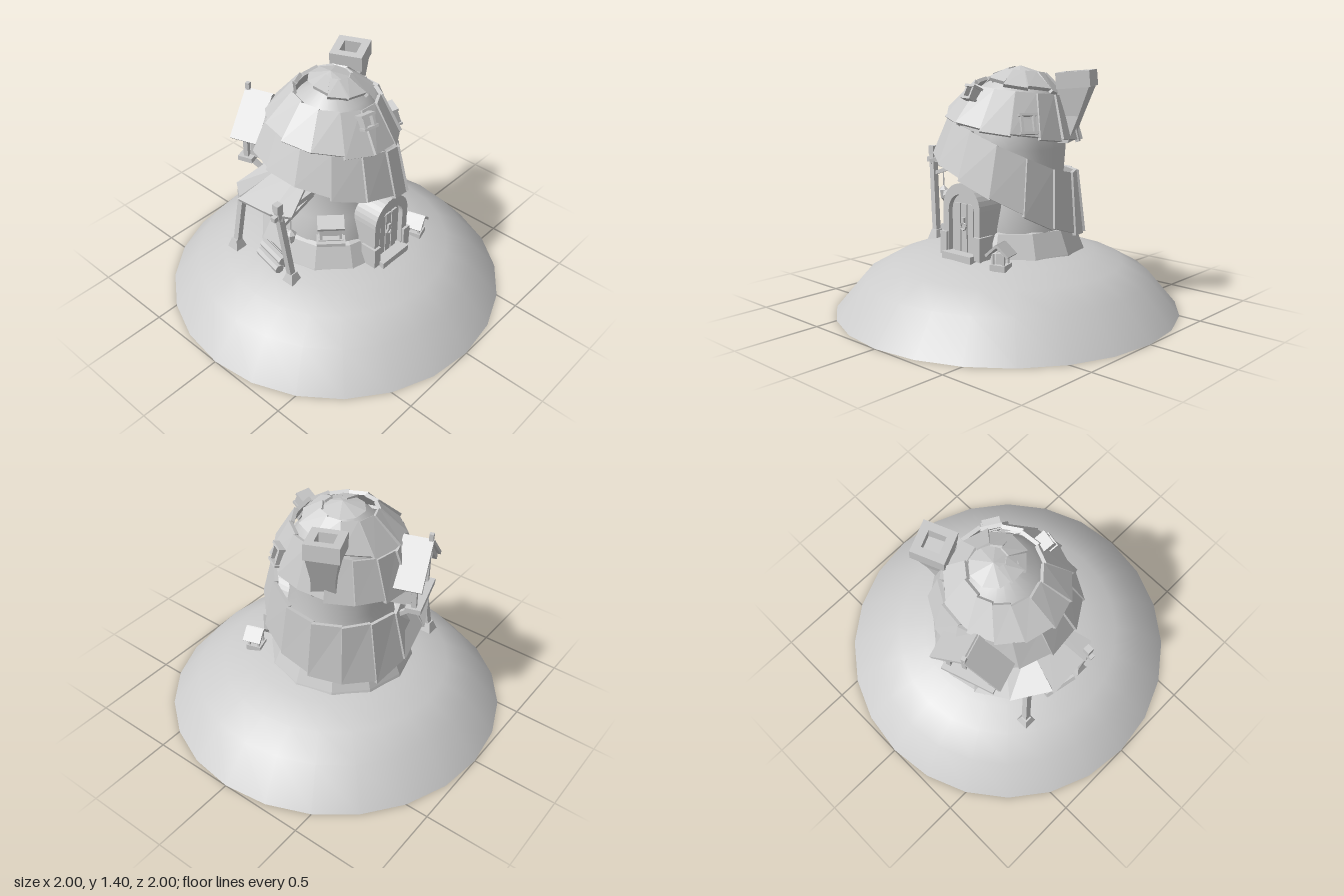
import * as THREE from 'three';

const mat = new THREE.MeshStandardMaterial({ color: 0xcccccc, flatShading: true, side: THREE.DoubleSide });
const smooth = new THREE.MeshStandardMaterial({ color: 0xcccccc, side: THREE.DoubleSide });
const V = (x, y, z) => new THREE.Vector3(x, y, z);

function add(parent, name, geo, pos = [0, 0, 0], rot = [0, 0, 0], m = mat) {
  const mesh = new THREE.Mesh(geo, m);
  mesh.name = name;
  mesh.position.set(...pos);
  mesh.rotation.set(...rot);
  parent.add(mesh);
  return mesh;
}
function group(parent, name, pos = [0, 0, 0], ry = 0) {
  const g = new THREE.Group();
  g.name = name;
  g.position.set(...pos);
  g.rotation.y = ry;
  parent.add(g);
  return g;
}
const box = (w, h, d) => new THREE.BoxGeometry(w, h, d);

// Square timber between two points
function beam(parent, name, a, b, w = 0.03, d = w) {
  const dir = V(...b).sub(V(...a));
  const mesh = add(parent, name, box(w, dir.length(), d));
  mesh.position.copy(V(...a)).addScaledVector(dir, 0.5);
  mesh.quaternion.setFromUnitVectors(V(0, 1, 0), dir.normalize());
  return mesh;
}

// Six-sided solid from an outer quad (counter-clockwise) and its inner quad
function hexa(o, i) {
  const quads = [o, [i[3], i[2], i[1], i[0]]];
  for (let k = 0; k < 4; k++) {
    const n = (k + 1) % 4;
    quads.push([o[k], i[k], i[n], o[n]]);
  }
  const pts = quads.flatMap(q => [q[0], q[1], q[2], q[0], q[2], q[3]]);
  const g = new THREE.BufferGeometry().setFromPoints(pts);
  g.computeVertexNormals();
  return g;
}

// Spiral roof stations: angle, lower radius, lower y, upper radius, upper y
const spiral = [
  [-720, .13, 1.37, .03, 1.395], [-630, .20, 1.33, .09, 1.385], [-540, .24, 1.28, .12, 1.37],
  [-450, .31, 1.18, .16, 1.35], [-360, .40, 1.19, .24, 1.33], [-270, .40, 1.09, .27, 1.29],
  [-180, .36, 1.01, .27, 1.25], [-90, .41, .95, .32, 1.18], [0, .45, 1.0, .37, 1.18],
  [90, .45, .82, .38, 1.07], [180, .43, .49, .38, .82], [240, .46, .42, .37, .80],
  [270, .46, .50, .38, .80], [300, .49, .64, .36, .83], [330, .56, .78, .33, .88],
  [350, .59, .83, .31, .92], [380, .54, .83, .30, .92],
];
function station(a) {
  let k = 0;
  while (k < spiral.length - 2 && spiral[k + 1][0] < a) k++;
  const p = spiral[k], q = spiral[k + 1], t = (a - p[0]) / (q[0] - p[0]);
  return p.map((v, j) => v + (q[j] - v) * t);
}
function roofPoint(a, r, y) {
  const t = (y - 0.5) / 0.9, rad = a * Math.PI / 180;
  return V(-0.02 + 0.06 * t - r * Math.cos(rad), y, -0.02 - 0.05 * t + r * Math.sin(rad));
}

function buildRoof(parent) {
  const roof = group(parent, 'spiralRoof');
  let a = -720;
  for (let n = 0; a < 379; n++) {
    const step = a < -450 ? 36 : 25, a1 = Math.min(a + step, 380);
    const s = station(a), e = station(a1), lift = 0.012, drop = 0.012 * (n % 2);
    const outer = [
      roofPoint(a, s[1] + lift, s[2] - drop), roofPoint(a1, e[1], e[2] - drop),
      roofPoint(a1, e[3], e[4]), roofPoint(a, s[3] + lift, s[4]),
    ];
    const nrm = outer[1].clone().sub(outer[0]).cross(outer[3].clone().sub(outer[0])).normalize();
    add(roof, 'shingle', hexa(outer, outer.map(p => p.clone().addScaledVector(nrm, -0.022))));
    a = a1;
  }
  // Raised cap at the tip
  add(roof, 'roofCap', new THREE.ConeGeometry(0.13, 0.04, 9), [0.035, 1.38, -0.07]);
}

const arch = (w, h, S = THREE.Shape) => {
  const s = new S();
  s.moveTo(-w, 0);
  s.lineTo(w, 0);
  s.lineTo(w, h - w);
  s.absarc(0, h - w, w, 0, Math.PI, false);
  s.lineTo(-w, 0);
  return s;
};
const extrude = (s, depth) => new THREE.ExtrudeGeometry(s, { depth, bevelEnabled: false, curveSegments: 8 });

function buildDoor(parent) {
  const d = group(parent, 'entrance', [0.025, 0.36, 0]);
  const frame = arch(0.14, 0.42);
  frame.holes.push(arch(0.098, 0.36, THREE.Path));
  add(d, 'doorFrame', extrude(frame, 0.2), [0, 0, 0.2]);
  add(d, 'door', extrude(arch(0.1, 0.36), 0.14), [0, 0, 0.23]);
  for (const x of [-0.05, 0, 0.05])
    add(d, 'doorBatten', box(0.042, 0.27, 0.012), [x, 0.17, 0.374]);
  add(d, 'doorKnocker', new THREE.TorusGeometry(0.02, 0.006, 5, 8), [0, 0.18, 0.385]);
  add(d, 'knockerPlate', box(0.022, 0.03, 0.02), [0, 0.215, 0.382]);
  for (const x of [-1, 1]) add(d, 'frameFoot', box(0.05, 0.13, 0.1), [x * 0.128, 0.075, 0.365]);
  add(d, 'doorStep', box(0.22, 0.04, 0.12), [0, 0.015, 0.385]);
}

// Open rectangular frame with pane, facing +z
function buildWindow(parent, name, pos, ry, rx, w, h) {
  const g = group(parent, name, pos);
  g.rotation.set(-rx, ry, 0, 'YXZ');
  for (const s of [-1, 1]) {
    add(g, 'frameSide', box(0.014, h, 0.06), [s * w / 2, 0, 0]);
    add(g, 'frameRail', box(w + 0.03, 0.014, 0.07), [0, s * h / 2, 0]);
  }
  add(g, 'pane', box(w, h, 0.02), [0, 0, -0.01]);
  return g;
}

function buildChimney(parent) {
  const c = group(parent, 'chimney', [0.345, 0, -0.2], 0.42);
  const ring = (cx, y, cz, h) => [[-1, 1], [1, 1], [1, -1], [-1, -1]].map(([x, z]) => V(cx + x * h, y, cz + z * h));
  const low = ring(-0.1, 0.98, 0.02, 0.07), mid = ring(-0.04, 1.13, 0.01, 0.066), top = ring(0, 1.3, 0, 0.088);
  add(c, 'chimneyFoot', hexa(mid, low));
  add(c, 'chimneyStack', hexa(top, mid));
  const s = new THREE.Shape([[-1, -1], [1, -1], [1, 1], [-1, 1]].map(([x, y]) => new THREE.Vector2(x * 0.096, y * 0.096)));
  s.holes.push(new THREE.Path([[-1, -1], [-1, 1], [1, 1], [1, -1]].map(([x, y]) => new THREE.Vector2(x * 0.05, y * 0.05))));
  add(c, 'chimneyCap', extrude(s, 0.09), [0, 1.285, 0], [-Math.PI / 2, -0.09, 0]);
}

function buildDormer(parent) {
  const d = group(parent, 'dormer', [-0.165, 0, -0.44], Math.atan2(-0.31, -0.95));
  const wall = new THREE.Shape([[-.12, .84], [.12, .84], [.12, 1.03], [0, 1.18], [-.12, 1.03]].map(p => new THREE.Vector2(...p)));
  wall.holes.push(new THREE.Path([[-.07, .89], [-.07, 1.02], [0, 1.1], [.07, 1.02], [.07, .89]].map(p => new THREE.Vector2(...p))));
  add(d, 'dormerWall', extrude(wall, 0.3), [0, 0, -0.3]);
  add(d, 'dormerPane', box(0.15, 0.22, 0.01), [0, 0.98, -0.04]);
  add(d, 'dormerMullion', box(0.015, 0.24, 0.02), [0, 0.98, -0.02]);
  add(d, 'dormerSill', box(0.32, 0.03, 0.09), [0, 0.835, 0.02]);
  for (const s of [-1, 1]) {
    beam(d, 'dormerRoof', [0, 1.205, -0.01], [s * 0.205, 1.0, -0.01], 0.02, 0.17);
    beam(d, 'dormerPost', [s * 0.13, 0.84, 0.02], [s * 0.13, 1.05, 0.02], 0.028);
    beam(d, 'dormerBracket', [s * 0.11, 0.83, 0.02], [s * 0.11, 0.74, -0.1], 0.025);
    beam(d, 'dormerRafter', [0, 1.17, 0.05], [s * 0.17, 0.99, 0.05], 0.025);
  }
  beam(d, 'dormerFinial', [0, 1.1, 0.06], [0, 1.25, 0.06], 0.024);
}

function buildPorch(parent) {
  const p = group(parent, 'porch');
  const posts = [[[-0.54, 0.87, 0.08], [-0.485, 0.35, 0.11]], [[-0.45, 0.72, -0.3], [-0.49, 0.34, -0.34]]];
  for (const [top, foot] of posts) {
    beam(p, 'porchPost', foot, top, 0.035);
    add(p, 'postCap', box(0.04, 0.05, 0.04), [top[0], top[1] + 0.01, top[2]]);
    const base = new THREE.CylinderGeometry(0.03, 0.055, 0.06, 4);
    add(p, 'postFoot', base, [foot[0], foot[1] + 0.02, foot[2]], [0, Math.PI / 4, 0]);
  }
  beam(p, 'porchBeam', [-0.58, 0.82, 0.08], [-0.25, 0.84, 0.08], 0.03);
  beam(p, 'porchBrace', [-0.52, 0.74, 0.08], [-0.28, 0.82, 0.08], 0.022);
  beam(p, 'porchPlate', [-0.54, 0.81, 0.1], [-0.45, 0.68, -0.31], 0.025);

  // Hanging lantern
  const l = group(p, 'lantern', [-0.45, 0.62, 0.08]);
  add(l, 'lanternChain', new THREE.CylinderGeometry(0.005, 0.005, 0.14, 4), [0, 0.1, 0]);
  add(l, 'lanternTop', new THREE.ConeGeometry(0.032, 0.03, 6), [0, 0.04, 0]);
  add(l, 'lanternGlass', new THREE.CylinderGeometry(0.026, 0.018, 0.055, 6), [0, 0, 0]);
  add(l, 'lanternTip', new THREE.ConeGeometry(0.018, 0.025, 6), [0, -0.038, 0], [Math.PI, 0, 0]);

  // Firewood
  for (const [x, y] of [[-0.49, 0.39], [-0.43, 0.395], [-0.46, 0.43]])
    add(p, 'log', new THREE.CylinderGeometry(0.028, 0.028, 0.2, 7), [x, y, -0.06], [Math.PI / 2, 0, 0.2]);
}

function buildShrine(parent) {
  const s = group(parent, 'smallLanternHouse', [0.295, 0.35, 0.375], 0.3);
  add(s, 'shrineBase', box(0.09, 0.035, 0.09), [0, 0.01, 0]);
  for (const x of [-1, 1]) for (const z of [-1, 1])
    add(s, 'shrinePost', box(0.012, 0.06, 0.012), [x * 0.03, 0.055, z * 0.03]);
  add(s, 'shrineCore', box(0.04, 0.06, 0.04), [0, 0.055, 0]);
  for (const x of [-1, 1]) beam(s, 'shrineRoof', [0, 0.135, 0], [x * 0.065, 0.075, 0], 0.014, 0.11);
}

export function createModel() {
  const root = new THREE.Group();
  root.name = 'snailRoofCottage';

  // Open hill shell
  const hill = [[1, 0], [.83, .2], [.67, .29], [.51, .345], [.33, .38], [.15, .389], [0, .39]];
  add(root, 'hill', new THREE.LatheGeometry(hill.map(p => new THREE.Vector2(...p)), 24), [0, 0, 0], [0, 0, 0], smooth);

  // Flared footing and waisted tower wall
  const lathe = (pts, n) => new THREE.LatheGeometry(pts.map(p => new THREE.Vector2(...p)), n);
  add(root, 'footing', lathe([[.43, .34], [.42, .37], [.365, .5], [.34, .51]], 12), [0, 0, -0.04]);
  add(root, 'towerWall', lathe([[.345, .36], [.345, .53], [.315, .65], [.29, .8], [.3, .95], [.29, 1.13], [.19, 1.28], [.03, 1.38]], 20),
    [0.01, 0, -0.04], [0, 0, 0], smooth);

  buildRoof(root);
  buildDoor(root);
  buildChimney(root);
  buildDormer(root);
  buildPorch(root);
  buildShrine(root);

  // Skylights and wall window
  buildWindow(root, 'upperSkylight', [-0.035, 1.255, 0.25], -0.2, 0.45, 0.06, 0.07);
  buildWindow(root, 'sideSkylight', [0.29, 1.1, 0.16], 1.05, 0.3, 0.07, 0.1);
  const w = buildWindow(root, 'wallWindow', [-0.25, 0.61, 0.19], -0.78, 0, 0.11, 0.11);
  add(w, 'windowSill', box(0.16, 0.02, 0.1), [0, -0.065, 0.01]);
  add(w, 'windowHood', box(0.15, 0.018, 0.09), [0, 0.06, 0.015], [0.35, 0, 0]);
  return root;
}
